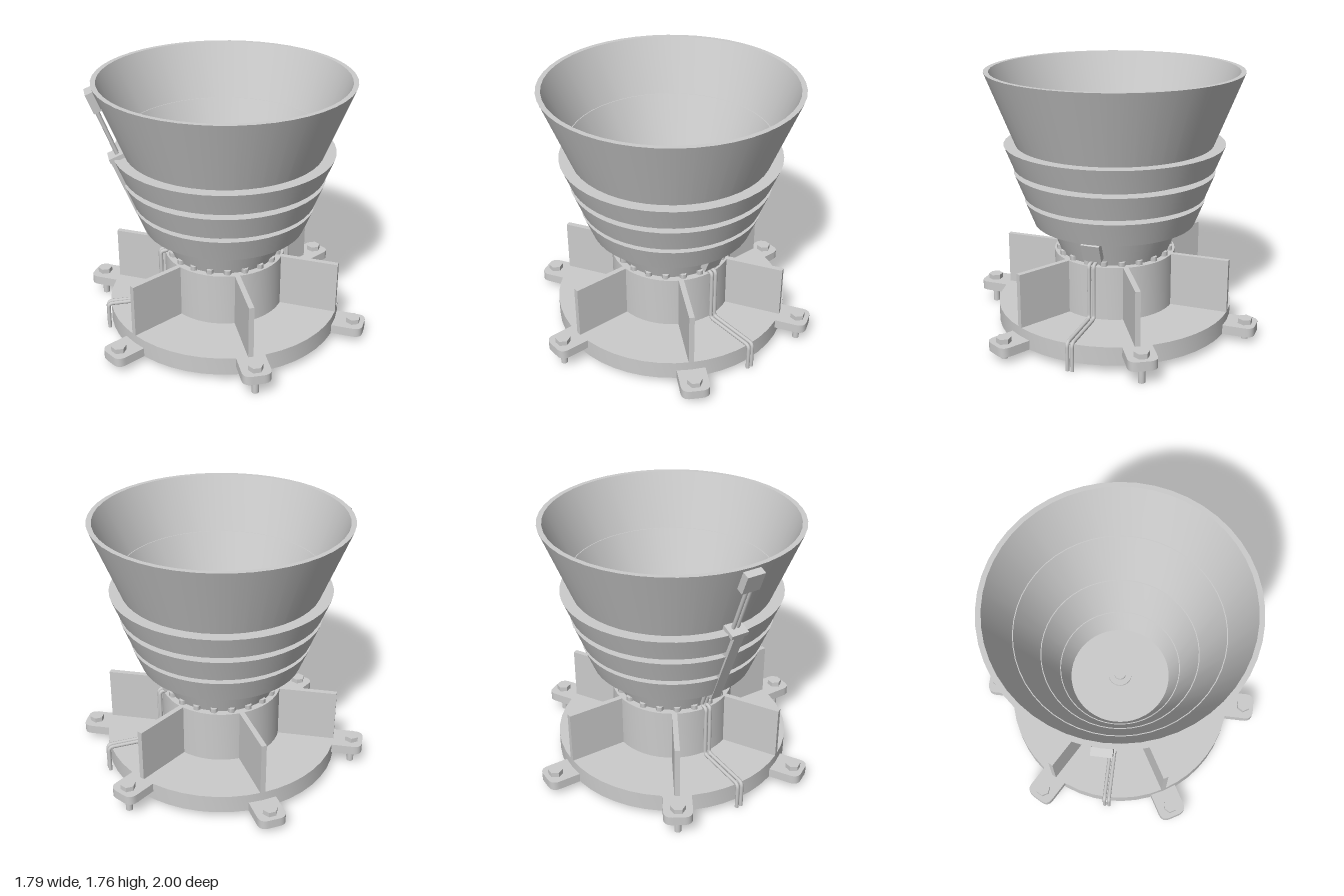
import * as THREE from 'three';
import { toCreasedNormals } from 'three/addons/utils/BufferGeometryUtils.js';

const grey = new THREE.MeshStandardMaterial({ color: 0xcccccc });
const SIDES = 48;

function add(parent, name, geometry, x = 0, y = 0, z = 0) {
  const mesh = new THREE.Mesh(geometry, grey);
  mesh.name = name;
  mesh.position.set(x, y, z);
  parent.add(mesh);
  return mesh;
}

// Closed lathe from [radius, height] pairs, running up the outside
function lathe(points) {
  const pts = points.map(([r, y]) => new THREE.Vector2(r, y));
  return toCreasedNormals(new THREE.LatheGeometry(pts, SIDES), 0.5);
}

// Flat plate: a shape seen from above, lifted by its thickness
function plate(shape, thickness) {
  const g = new THREE.ExtrudeGeometry(shape, { depth: thickness, bevelEnabled: false, curveSegments: 8 });
  return toCreasedNormals(g.rotateX(-Math.PI / 2), 0.5);
}

// Pair of thin pipes side by side in z, with rounded bends
function pipePair(parent, name, points, radius = 0.013) {
  const v = points.map(([x, y]) => new THREE.Vector3(x, y, 0));
  const path = new THREE.CurvePath();
  let from = v[0];
  for (let i = 1; i < v.length - 1; i++) {
    const bend = Math.min(0.03, v[i].distanceTo(v[i - 1]) / 2, v[i].distanceTo(v[i + 1]) / 2);
    const a = v[i].clone().add(v[i - 1].clone().sub(v[i]).setLength(bend));
    const b = v[i].clone().add(v[i + 1].clone().sub(v[i]).setLength(bend));
    if (from.distanceTo(a) > 1e-4) path.add(new THREE.LineCurve3(from, a));
    path.add(new THREE.QuadraticBezierCurve3(a, v[i], b));
    from = b;
  }
  path.add(new THREE.LineCurve3(from, v[v.length - 1]));
  for (const z of [-0.016, 0.016]) {
    add(parent, name, new THREE.TubeGeometry(path, 90, radius, 8), 0, 0, z);
  }
}

function lugShape() {
  const s = new THREE.Shape();
  const w = 0.095, r = 0.06;
  s.moveTo(0.78, -w);
  s.lineTo(1 - r, -w);
  s.quadraticCurveTo(1, -w, 1, -w + r);
  s.lineTo(1, w - r);
  s.quadraticCurveTo(1, w, 1 - r, w);
  s.lineTo(0.78, w);
  s.closePath();
  return s;
}

export function createModel() {
  const model = new THREE.Group();
  model.name = 'nozzleOnMount';

  // Base disc with a central hole
  add(model, 'baseDisc', lathe([
    [0.13, 0.05], [0.8, 0.05], [0.8, 0.175], [0.13, 0.175], [0.13, 0.05],
  ]));

  // Six lugs at alternating heights, each with a bolt and a radial gusset
  const lug = plate(lugShape(), 0.0625);
  const head = toCreasedNormals(new THREE.CylinderGeometry(0.05, 0.05, 0.034, 6), 0.5);
  for (let i = 0; i < 6; i++) {
    const arm = new THREE.Group();
    arm.name = 'mountArm';
    arm.rotation.y = Math.PI / 6 + (i * Math.PI) / 3;
    const bottom = i % 2 === 0 ? 0.1125 : 0.05;
    const top = bottom + 0.0625;
    add(arm, 'lug', lug, 0, bottom, 0);
    add(arm, 'boltHead', head, 0.925, top + 0.017, 0);
    add(arm, 'boltShaft', new THREE.CylinderGeometry(0.023, 0.023, top, 16), 0.925, top / 2, 0);
    add(arm, 'gusset', new THREE.BoxGeometry(0.41, 0.365, 0.035), 0.595, 0.3575, 0);
    model.add(arm);
  }

  // Central drum with a ring of small bolts on its top edge
  add(model, 'drum', lathe([[0, 0.17], [0.41, 0.17], [0.41, 0.54], [0, 0.54]]));
  for (let i = 0; i < 20; i++) {
    const a = ((i + 0.5) * Math.PI) / 10;
    add(model, 'drumBolt', new THREE.CylinderGeometry(0.025, 0.025, 0.03, 6),
      0.373 * Math.cos(a), 0.555, 0.373 * Math.sin(a)).rotation.y = -a;
  }

  // Bell: straight flared wall, with fine steps on the inside
  add(model, 'bell', lathe([
    [0.365, 0.54], [0.845, 1.76], [0.812, 1.76],
    [0.672, 1.39], [0.666, 1.39], [0.526, 1.03], [0.520, 1.03],
    [0.414, 0.74], [0.408, 0.74], [0.345, 0.565], [0, 0.565],
  ]));
  add(model, 'injectorRing', lathe([[0, 0.56], [0.08, 0.56], [0.08, 0.58], [0, 0.58]]));
  add(model, 'injectorPin', lathe([[0, 0.58], [0.04, 0.58], [0.04, 0.6], [0, 0.6]]));

  // Three flared stiffening bands around the bell
  const bands = [[0.74, 0.9, 0.543, 0.606], [0.93, 1.09, 0.609, 0.671], [1.125, 1.28, 0.672, 0.733]];
  for (const [y0, y1, r0, r1] of bands) {
    const inner = (y) => 0.355 + (y - 0.54) * 0.393;
    add(model, 'band', lathe([[inner(y0), y0], [r0, y0], [r1, y1], [inner(y1), y1]]));
  }

  // Pipes down the drum and across the base, on both sides
  for (const s of [1, -1]) {
    pipePair(model, 'pipe', [
      [0.42, 0.64], [0.392, 0.562], [0.445, 0.565], [0.445, 0.19], [0.822, 0.19], [0.822, 0],
    ].map(([x, y]) => [s * x, y]));
  }

  // Small connector box on the left side
  const tilt = 0.375;
  add(model, 'connectorBox', new THREE.BoxGeometry(0.055, 0.13, 0.125), 0.423, 0.652, 0).rotation.z = -tilt;

  // Cable run up the right side: channel, end cap, rods and sensor box
  const run = new THREE.Group();
  run.name = 'cableRun';
  pipePair(run, 'riser', [[-0.41, 0.61], [-0.46, 0.74]]);
  add(run, 'channel', new THREE.BoxGeometry(0.1, 0.62, 0.075), -0.592, 0.995, 0).rotation.z = tilt;
  add(run, 'channelCap', new THREE.BoxGeometry(0.11, 0.03, 0.12), -0.705, 1.29, 0).rotation.z = tilt;
  pipePair(run, 'rod', [[-0.695, 1.28], [-0.83, 1.64]]);
  add(run, 'sensorBox', new THREE.BoxGeometry(0.05, 0.135, 0.125), -0.836, 1.67, 0).rotation.z = tilt;
  model.add(run);

  return model;
}
